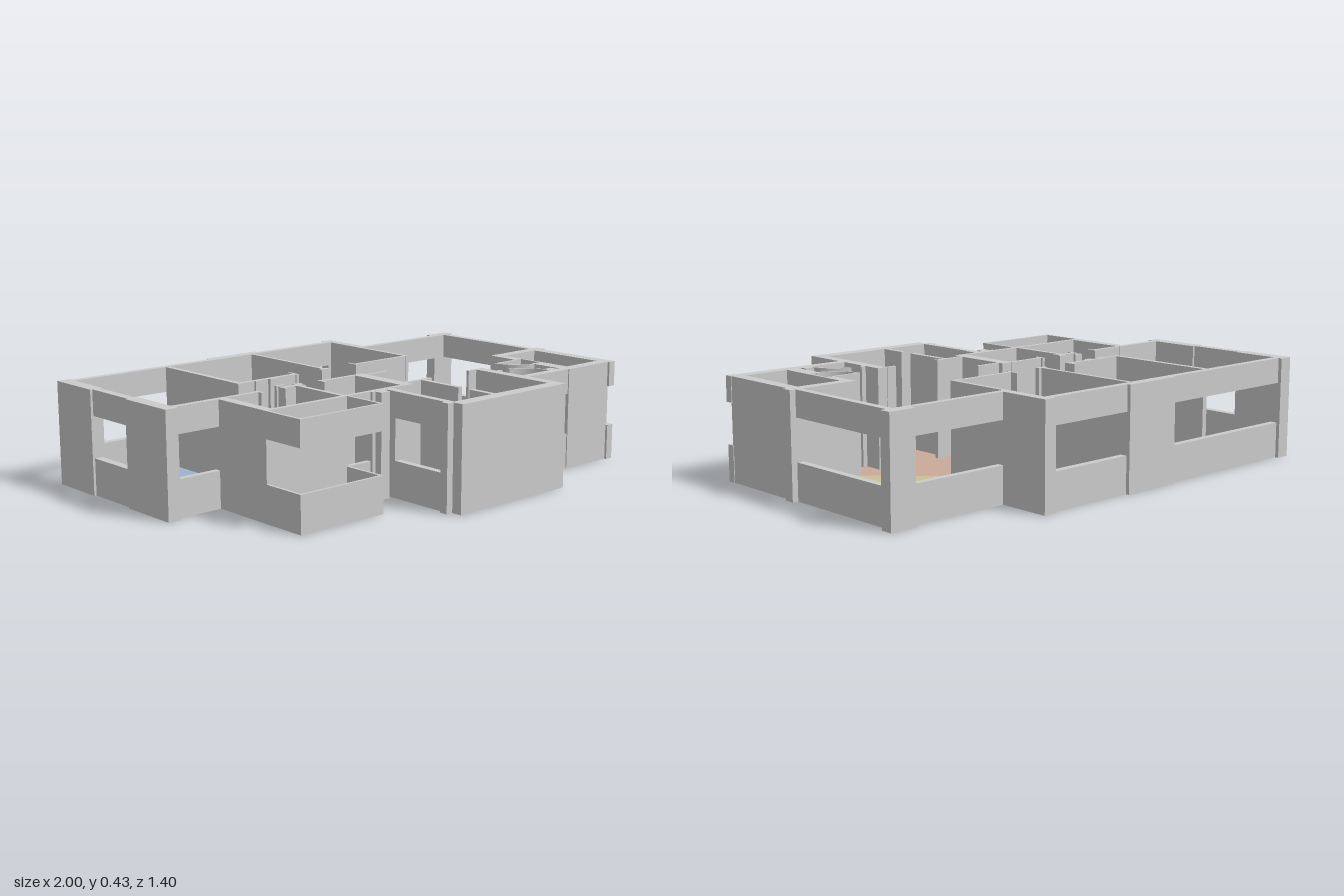
import * as THREE from 'three';

const H = 0.425, SILL = 0.15, HEAD = 0.32;
const grey = new THREE.MeshStandardMaterial({ color: 0xcccccc });

export function createModel() {
  const model = new THREE.Group();
  model.name = 'apartment';

  // a straight block given by its plan rectangle and height range
  function wall(name, x0, x1, z0, z1, y0 = 0, y1 = H) {
    const m = new THREE.Mesh(new THREE.BoxGeometry(x1 - x0, y1 - y0, z1 - z0), grey);
    m.position.set((x0 + x1) / 2, (y0 + y1) / 2, (z0 + z1) / 2);
    m.name = name;
    model.add(m);
  }
  // a parapet below and a lintel above an open window strip
  function windowWall(name, x0, x1, z0, z1) {
    wall(name + 'Sill', x0, x1, z0, z1, 0, SILL);
    wall(name + 'Lintel', x0, x1, z0, z1, HEAD, H);
  }
  // a thin floor slab from plan corners [x, z]
  function floor(name, color, pts) {
    const shape = new THREE.Shape(pts.map(([x, z]) => new THREE.Vector2(x, -z)));
    const geo = new THREE.ExtrudeGeometry(shape, { depth: 0.006, bevelEnabled: false });
    geo.rotateX(-Math.PI / 2);
    const m = new THREE.Mesh(geo, new THREE.MeshStandardMaterial({ color }));
    m.position.y = 0.003;
    m.name = name;
    model.add(m);
  }
  const rect = (x0, x1, z0, z1) => [[x0, z0], [x1, z0], [x1, z1], [x0, z1]];
  // a full-height curved screen following a door swing
  function arcWall(name, cx, cz, r, a0, a1, t = 0.008) {
    const s = new THREE.Shape();
    s.absarc(cx, -cz, r, a0, a1, false);
    s.absarc(cx, -cz, r - t, a1, a0, true);
    const geo = new THREE.ExtrudeGeometry(s, { depth: H, bevelEnabled: false, curveSegments: 10 });
    geo.rotateX(-Math.PI / 2);
    const m = new THREE.Mesh(geo, grey);
    m.name = name;
    model.add(m);
  }

  // floors
  floor('bedroomFloor', 0xa0b3ce, [[-0.95, -0.66], [0.41, -0.66], [0.41, -0.17], [0.23, -0.17],
    [0.23, -0.09], [0.12, 0.03], [-0.04, 0.03], [-0.04, 0], [-0.95, 0]]);
  floor('livingFloor', 0xccbf99, [[0.41, -0.46], [0.95, -0.46], [0.95, 0.08], [0.7, 0.08], [0.7, 0.22],
    [0.57, 0.22], [0.28, -0.065], [0.23, -0.09], [0.23, -0.17], [0.41, -0.17]]);
  floor('hallFloor', 0xcaaa9a, [[0, 0.03], [0.12, 0.03], [0.23, -0.09], [0.28, -0.065], [0.57, 0.22],
    [0.6, 0.29], [0.69, 0.34], [0.69, 0.42], [0.63, 0.42], [0.55, 0.34], [0.45, 0.34],
    [0.41, 0.65], [0.09, 0.65], [0.09, 0.26], [0, 0.26]]);
  floor('bathFloorRight', 0x99bfbf, rect(-0.705, -0.355, 0.01, 0.285));
  floor('bathFloorLeft', 0x99bfbf, rect(-0.355, -0.05, 0.01, 0.285));
  floor('balconyFloor', 0xa4a4a4, rect(-0.74, -0.345, 0.295, 0.485));
  floor('serviceFloor', 0xb2b6ae, rect(-0.125, 0.09, 0.26, 0.65));
  floor('shaftFloor', 0xc2beb4, rect(0.735, 0.935, 0.115, 0.47));

  // rear facade
  wall('rearCornerPier', -1, -0.945, -0.7, -0.46);
  wall('rearCornerReturn', -0.945, -0.94, -0.7, -0.655);
  windowWall('rearWindowRight', -0.94, -0.26, -0.685, -0.655);
  wall('rearPier', -0.26, 0, -0.7, -0.655);
  windowWall('rearWindowLeft', 0, 0.395, -0.685, -0.655);
  wall('rearEndPier', 0.395, 0.45, -0.7, -0.655);
  wall('livingSideWall', 0.41, 0.45, -0.655, -0.455);
  wall('livingPartition', 0.41, 0.428, -0.455, -0.165);
  windowWall('livingRearWindow', 0.45, 0.885, -0.482, -0.455);
  wall('livingCornerPier', 0.885, 1, -0.505, -0.455);
  windowWall('livingSideWindow', 0.945, 0.975, -0.455, 0.075);

  // right side facade
  windowWall('sideWindow', -0.99, -0.955, -0.46, -0.22);
  wall('sideWall', -1, -0.945, -0.22, 0.04);
  windowWall('bedroomFrontWindow', -0.945, -0.745, -0.005, 0.02);

  // bedroom partitions
  wall('bedroomPartition', -0.508, -0.485, -0.655, -0.165);
  wall('bedroomFrontPartition', -0.485, -0.205, -0.185, -0.167);
  wall('doorJamb', -0.213, -0.2, -0.215, -0.16);
  wall('bedroomPartition', -0.053, -0.036, -0.655, -0.17);
  wall('doorJamb', -0.068, -0.022, -0.19, -0.17);
  wall('bedroomFrontPartition', 0.12, 0.41, -0.183, -0.167);
  wall('doorJamb', 0.115, 0.126, -0.215, -0.16);
  for (const [x, z] of [[-0.41, -0.165], [-0.34, -0.16], [-0.41, -0.035], [-0.34, -0.01]])
    wall('corridorJamb', x - 0.015, x + 0.025, z - 0.007, z + 0.007);

  // bathrooms, each with a doorway to the corridor
  wall('bathSideWall', -0.745, -0.703, -0.005, 0.3);
  for (const [x0, x1] of [[-0.703, -0.54], [-0.425, -0.33], [-0.225, -0.05]])
    wall('bathRearWall', x0, x1, -0.002, 0.016);
  for (const x of [-0.545, -0.425, -0.335, -0.225])
    wall('doorJamb', x - 0.007, x + 0.007, -0.01, 0.035);
  wall('bathPartition', -0.365, -0.345, 0.016, 0.28);
  wall('bathFrontWall', -0.703, -0.345, 0.28, 0.3);
  windowWall('bathFrontWindow', -0.345, -0.23, 0.28, 0.3);
  wall('bathFrontWall', -0.23, -0.05, 0.28, 0.3);
  wall('bathHallWall', -0.052, 0, 0, 0.3);
  wall('hallStub', 0, 0.115, 0.022, 0.034);

  // balcony bands
  windowWall('balconySide', -0.745, -0.733, 0.3, 0.49);
  windowWall('balconySide', -0.352, -0.34, 0.3, 0.49);
  windowWall('balconyFront', -0.733, -0.352, 0.478, 0.49);

  // kitchen and service room
  wall('kitchenFrontWall', -0.14, 0.45, 0.645, 0.7);
  wall('kitchenSideWall', 0.405, 0.45, 0.25, 0.645);
  wall('kitchenRearJamb', 0.36, 0.405, 0.247, 0.26);
  wall('serviceRearWall', 0, 0.14, 0.247, 0.265);
  wall('servicePartition', 0.078, 0.1, 0.265, 0.47);
  wall('servicePartition', 0.078, 0.1, 0.53, 0.645);
  windowWall('serviceWindow', -0.155, -0.125, 0.36, 0.645);
  wall('serviceJamb', -0.17, -0.14, 0.62, 0.655);
  wall('servicePier', -0.155, -0.118, 0.3, 0.36);
  wall('serviceJamb', -0.23, -0.155, 0.3, 0.312);
  wall('serviceJamb', -0.215, -0.17, 0.312, 0.345);

  // entrance lobby with curved door screens
  windowWall('lobbyFront', 0.45, 0.7, 0.472, 0.51);
  wall('lobbyJamb', 0.45, 0.47, 0.33, 0.35);
  wall('lobbyRearWall', 0.57, 0.7, 0.213, 0.225);
  arcWall('lobbyDoorScreen', 0.69, 0.222, 0.118, Math.PI, Math.PI * 1.5);
  arcWall('lobbyDoorScreen', 0.482, 0.474, 0.142, 0, Math.PI * 0.42);
  wall('lobbyJamb', 0.625, 0.665, 0.44, 0.472);
  wall('lobbyJamb', 0.68, 0.7, 0.32, 0.472);

  // shaft beside the lobby
  wall('shaftRearWall', 0.695, 1, 0.075, 0.12);
  wall('shaftInnerWall', 0.695, 0.738, 0.12, 0.22);
  wall('shaftInnerThinWall', 0.728, 0.738, 0.22, 0.325);
  wall('shaftInnerWall', 0.695, 0.738, 0.325, 0.515);
  wall('shaftOuterWall', 0.932, 0.982, 0.12, 0.495);
  wall('shaftFrontWall', 0.738, 0.95, 0.467, 0.515);
  windowWall('shaftCorner', 0.95, 0.985, 0.49, 0.525);

  return model;
}
